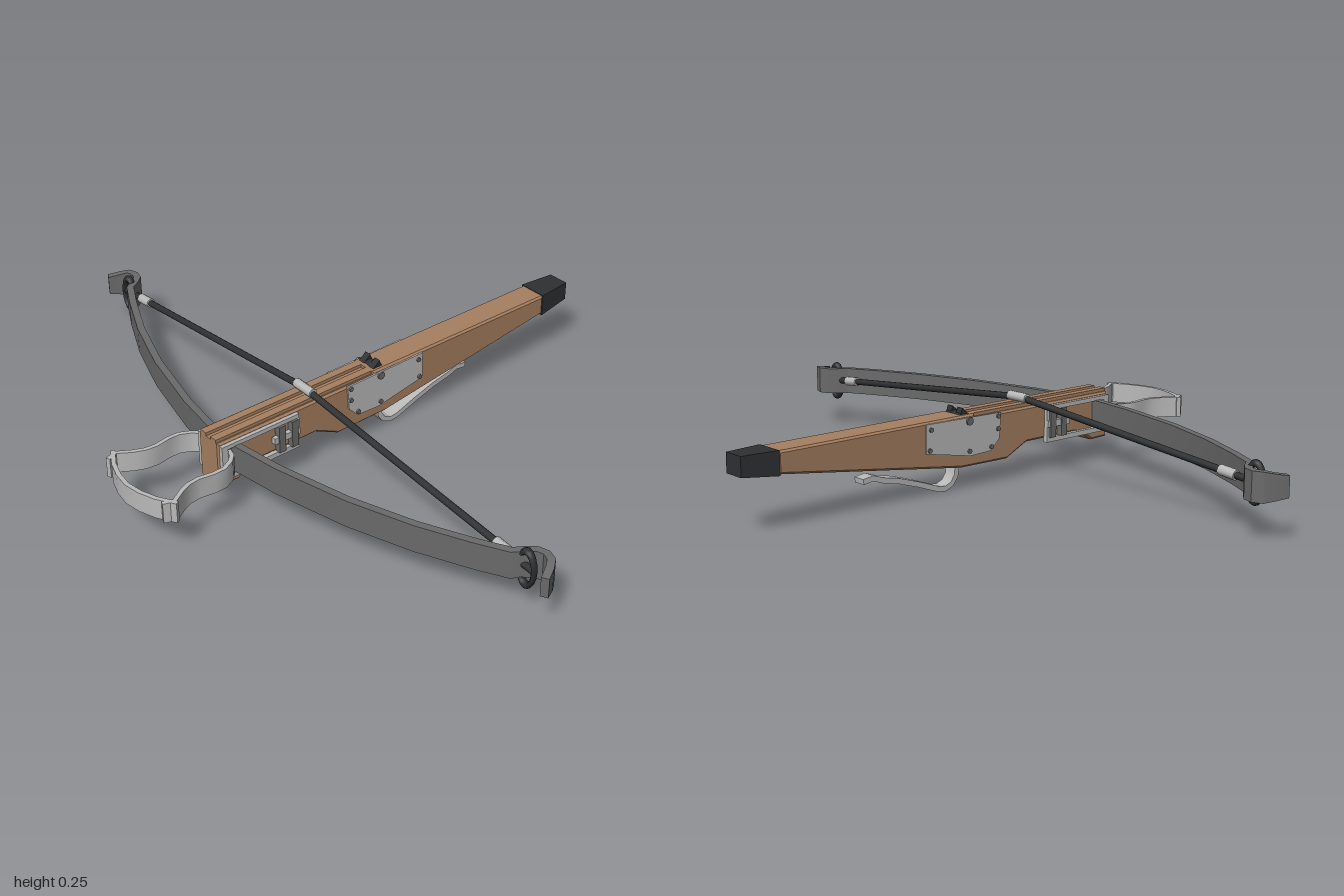
import * as THREE from 'three';
import { toCreasedNormals } from 'three/addons/utils/BufferGeometryUtils.js';

const material = (name, color) => {
  const m = new THREE.MeshStandardMaterial({ color });
  m.name = name;
  return m;
};

// Rectangular bar swept along a flat path (u, v); halfW(i) is its half width along w.
function ribbon(points, thick, halfW) {
  const n = points.length, pos = [];
  const sections = points.map(([u, v], i) => {
    const a = points[Math.max(i - 1, 0)], b = points[Math.min(i + 1, n - 1)];
    const du = b[0] - a[0], dv = b[1] - a[1], s = thick / 2 / Math.hypot(du, dv);
    const nu = -dv * s, nv = du * s, w = halfW(i);
    return [[u + nu, v + nv, w], [u - nu, v - nv, w], [u - nu, v - nv, -w], [u + nu, v + nv, -w]];
  });
  const quad = (a, b, c, d) => [a, b, c, a, c, d].forEach(p => pos.push(...p));
  for (let i = 0; i < n - 1; i++) {
    const s = sections[i], e = sections[i + 1];
    for (let k = 0; k < 4; k++) {
      const j = (k + 1) % 4;
      quad(s[j], e[j], e[k], s[k]);
    }
  }
  quad(...sections[n - 1]);
  quad(...[...sections[0]].reverse());
  const g = new THREE.BufferGeometry();
  g.setAttribute('position', new THREE.Float32BufferAttribute(pos, 3));
  g.computeVertexNormals();
  return toCreasedNormals(g, 0.5);
}

// Re-order ribbon axes: (u, v, w) = (z, x, y) for level bars, (y, z, x) for upright ones.
function reorder(g, pick) {
  for (const name of ['position', 'normal']) {
    const a = g.attributes[name];
    for (let i = 0; i < a.count; i++) a.setXYZ(i, ...pick(a.getX(i), a.getY(i), a.getZ(i)));
  }
  return g;
}
const levelBar = (xz, thick, halfW) =>
  reorder(ribbon(xz.map(([x, z]) => [z, x]), thick, halfW), (u, v, w) => [v, w, u]);
const uprightBar = (zy, thick, halfW) =>
  reorder(ribbon(zy.map(([z, y]) => [y, z]), thick, halfW), (u, v, w) => [w, u, v]);

// Side outline (z, y) extruded across x, centred on x = 0.
function sideSlab(zy, width, bevel = 0, hole = null) {
  const shape = new THREE.Shape(zy.map(p => new THREE.Vector2(...p)));
  if (hole) shape.holes.push(new THREE.Path(hole.map(p => new THREE.Vector2(...p))));
  const g = new THREE.ExtrudeGeometry(shape, {
    depth: width - 2 * bevel, bevelEnabled: bevel > 0, bevelSize: bevel,
    bevelThickness: bevel, bevelOffset: -bevel, bevelSegments: 1,
  });
  return g.translate(0, 0, -(width - 2 * bevel) / 2).rotateY(-Math.PI / 2);
}

const mirrored = half => [...half.map(([x, z]) => [-x, z]).reverse(), ...half];
const rect = (z0, y0, z1, y1) => [[z0, y0], [z1, y0], [z1, y1], [z0, y1]];

export function createModel() {
  const model = new THREE.Group();
  model.name = 'crossbow';
  const wood = material('wood', 0xa67f60);
  const darkSteel = material('dark steel', 0x6a6a6a);
  const steel = material('light steel', 0xb9bab9);
  const black = material('black', 0x2e3032);

  const add = (name, geometry, mat, x = 0, y = 0, z = 0) => {
    const m = new THREE.Mesh(geometry, mat);
    m.name = name;
    m.position.set(x, y, z);
    model.add(m);
    return m;
  };
  const rod = (name, a, b, r, mat) => {
    const d = b.clone().sub(a);
    const m = add(name, new THREE.CylinderGeometry(r, r, d.length(), 10), mat);
    m.position.copy(a).addScaledVector(d, 0.5);
    m.quaternion.setFromUnitVectors(new THREE.Vector3(0, 1, 0), d.normalize());
  };

  // Stock: tapered body, lowered in front where two rails leave a bolt groove
  add('stock', sideSlab([
    [0.54, 0.07], [0.54, 0.212], [-0.01, 0.212], [-0.01, 0.222], [-0.70, 0.222], [-0.70, 0.158],
    [-0.06, 0.068], [0.12, 0.066], [0.20, 0.105], [0.40, 0.105], [0.44, 0.09], [0.475, 0.068],
  ], 0.09, 0.006), wood);
  for (const s of [-1, 1])
    add('bolt rail', new THREE.BoxGeometry(0.025, 0.014, 0.55), wood, s * 0.023, 0.215, 0.265);

  // Butt cap, narrowing to the rear
  const cap = new THREE.BoxGeometry(0.092, 0.07, 0.115);
  const cp = cap.attributes.position;
  for (let i = 0; i < cp.count; i++) if (cp.getZ(i) < 0) {
    cp.setX(i, cp.getX(i) * 0.74);
    if (cp.getY(i) < 0) cp.setY(i, -0.023);
  }
  cap.computeVertexNormals();
  add('buttCap', cap, black, 0, 0.189, -0.7545);

  // Bow limbs with hooked tips
  const limb = [[0.05, 0.485], [0.21, 0.462], [0.44, 0.408], [0.63, 0.342], [0.78, 0.273],
    [0.865, 0.228], [0.885, 0.198], [0.905, 0.175], [0.93, 0.168], [0.955, 0.177], [0.972, 0.2], [0.989, 0.232]];
  const bowPath = mirrored(limb);
  add('bow', levelBar(bowPath, 0.022, i => {
    const x = Math.abs(bowPath[i][0]);
    return x > 0.98 ? 0.03 : x > 0.965 ? 0.036 : 0.042;
  }), darkSteel, 0, 0.152, 0);

  // String with loops round the tips, ferrules and centre serving
  const at = x => new THREE.Vector3(x, 0.235 - 0.094 * Math.abs(x), 0.205);
  for (const s of [-1, 1]) {
    rod('string', at(0), at(s * 0.925), 0.01, black);
    rod('stringFerrule', at(s * 0.785), at(s * 0.84), 0.015, steel);
    const loop = add('stringLoop', new THREE.TorusGeometry(0.053, 0.011, 8, 16), black, s * 0.902, 0.148, 0.208);
    loop.scale.x = 0.5;
  }
  rod('stringServing', new THREE.Vector3(-0.038, 0.235, 0.205), new THREE.Vector3(0.038, 0.235, 0.205), 0.014, steel);

  // Bow irons: a frame and wedge on each side of the stock
  for (const s of [-1, 1]) {
    add('bowIron', sideSlab(rect(0.27, 0.093, 0.535, 0.205), 0.014, 0, rect(0.285, 0.108, 0.515, 0.192)),
      steel, s * 0.05);
    for (const z of [0.29, 0.335])
      add('ironWedge', new THREE.BoxGeometry(0.02, 0.085, 0.022), darkSteel, s * 0.055, 0.15, z);
    add('wedgeBolt', new THREE.BoxGeometry(0.014, 0.02, 0.09), steel, s * 0.055, 0.15, 0.315);
  }

  // Foot stirrup: two waisted arms and a curved tread
  const arm = [[0.045, 0.505], [0.07, 0.513], [0.09, 0.532], [0.107, 0.565], [0.108, 0.6], [0.1, 0.645],
    [0.104, 0.68], [0.118, 0.712], [0.142, 0.75], [0.13, 0.782]];
  for (const s of [-1, 1])
    add('stirrupArm', levelBar(arm.map(([x, z]) => [s * x, z]), 0.013, () => 0.031), steel, 0, 0.15, 0);
  add('stirrupTread', levelBar(mirrored([[0, 0.805], [0.05, 0.799], [0.1, 0.782], [0.155, 0.75]]
    .filter(p => p[0] > 0)).toSpliced(3, 0, [0, 0.806]), 0.013, () => 0.031), steel, 0, 0.15, 0);

  // Lock plates with rivets and the nut axle
  const plate = [[0.088, 0.213], [-0.197, 0.217], [-0.197, 0.132], [-0.03, 0.1], [0.05, 0.103], [0.083, 0.135]];
  const rivets = [[0.077, 0.203], [0.077, 0.165], [0.05, 0.115], [-0.035, 0.115], [-0.185, 0.14], [-0.18, 0.2]];
  const disc = (r, depth) => new THREE.CylinderGeometry(r, r, depth, 12).rotateZ(Math.PI / 2);
  for (const s of [-1, 1]) {
    add('lockPlate', sideSlab(plate, 0.006), steel, s * 0.047);
    for (const [z, y] of rivets) add('rivet', disc(0.007, 0.006), darkSteel, s * 0.052, y, z);
    add('nutAxle', disc(0.012, 0.006), darkSteel, s * 0.052, 0.204, -0.035);
  }

  // Nut with two string fingers
  add('nut', disc(0.024, 0.064), black, 0, 0.205, -0.04);
  for (const s of [-1, 1])
    add('nutFinger', sideSlab([[-0.055, 0.215], [-0.012, 0.215], [-0.03, 0.228], [-0.046, 0.242]], 0.022), black, s * 0.021);

  // Long trigger lever
  add('trigger', uprightBar([[-0.055, 0.075], [-0.06, 0.04], [-0.075, 0.019], [-0.1, 0.0085], [-0.125, 0.011],
    [-0.2, 0.038], [-0.27, 0.06], [-0.33, 0.073], [-0.365, 0.085], [-0.4, 0.08]], 0.016, () => 0.02), steel);

  return model;
}
